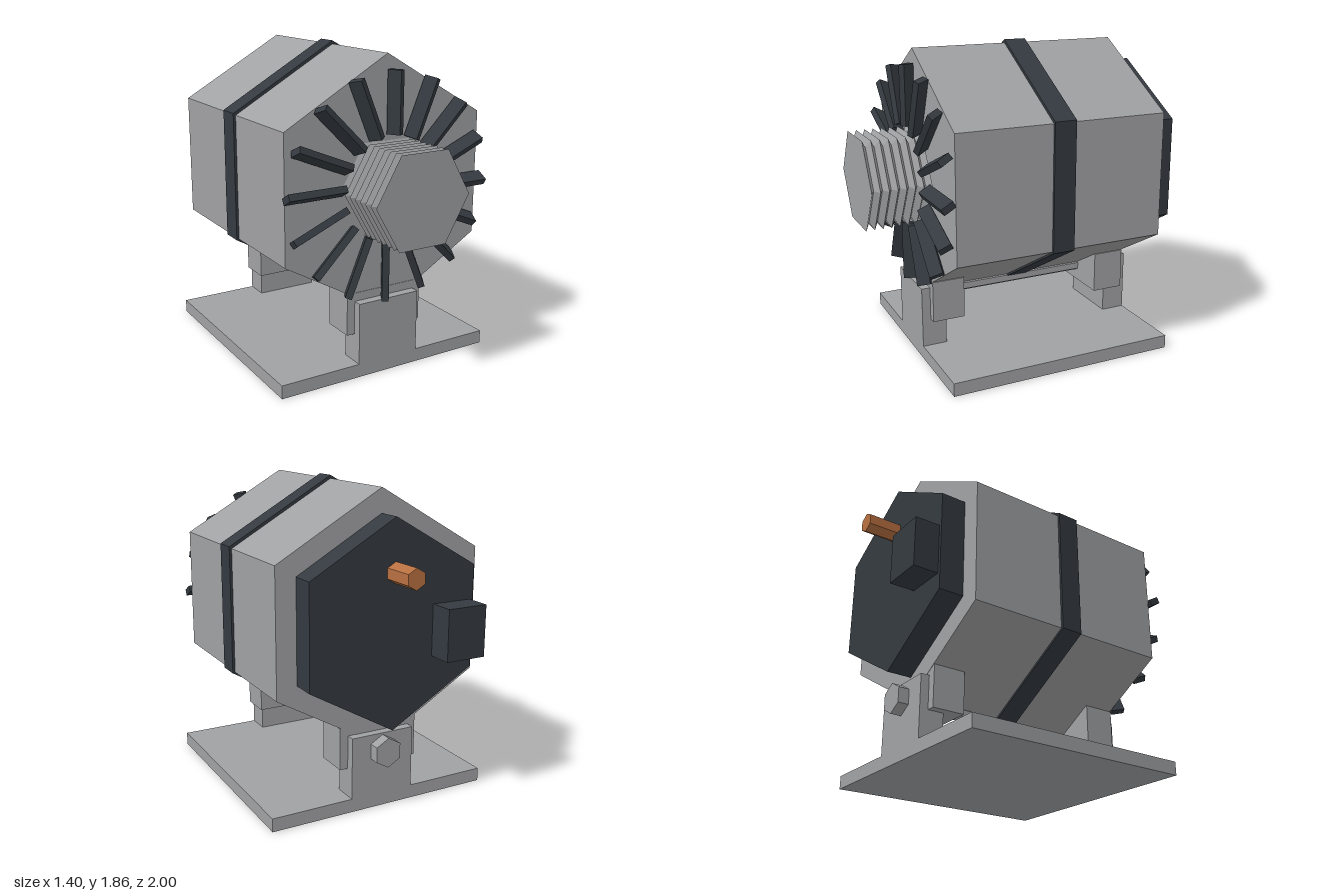
import * as THREE from 'three';

export function createModel() {
  const model = new THREE.Group();
  const mat = (name, color) => {
    const m = new THREE.MeshStandardMaterial({ color });
    m.name = name;
    return m;
  };
  const metal = mat('brushed metal', 0xa0a1a3);
  const dark = mat('dark casing', 0x343a40);
  const copper = mat('copper', 0xb87040);
  const CY = 1.1; // height of the shaft axis

  const add = (name, geometry, material, parent = model) => {
    const mesh = new THREE.Mesh(geometry, material);
    mesh.name = name;
    parent.add(mesh);
    return mesh;
  };
  // Box given by its min and max corners
  const box = (name, material, [x0, y0, z0], [x1, y1, z1]) => {
    const mesh = add(name, new THREE.BoxGeometry(x1 - x0, y1 - y0, z1 - z0), material);
    mesh.position.set((x0 + x1) / 2, (y0 + y1) / 2, (z0 + z1) / 2);
    return mesh;
  };
  const faceted = (geometry) => {
    const flat = geometry.toNonIndexed();
    flat.computeVertexNormals();
    return flat;
  };
  // Hexagonal prism along z, with a corner at the top
  const hex = (name, material, r, y, z0, z1) => {
    const g = new THREE.CylinderGeometry(r, r, z1 - z0, 6).rotateX(Math.PI / 2);
    const mesh = add(name, faceted(g), material);
    mesh.position.set(0, y, (z0 + z1) / 2);
    return mesh;
  };

  // Housing, band and rear parts
  hex('housing', metal, 0.74, CY, -0.65, 0.645);
  hex('centreBand', dark, 0.757, CY + 0.003, -0.068, 0.066);
  hex('rearCover', dark, 0.6, CY, -0.8, -0.64);
  hex('copperTerminal', copper, 0.06, 1.4, -1, -0.79);
  box('connectorBox', dark, [-0.5, 0.9, -0.95], [-0.25, 1.2, -0.79]);

  // Grooved pulley
  const profile = [new THREE.Vector2(0, 0.64)];
  for (let i = 0; i <= 14; i++) {
    profile.push(new THREE.Vector2(i % 2 ? 0.252 : 0.303, 0.65 + i * 0.025));
  }
  profile.push(new THREE.Vector2(0, 1));
  const pulley = new THREE.LatheGeometry(profile, 6).rotateY(Math.PI / 6).rotateX(Math.PI / 2);
  add('pulley', faceted(pulley), metal).position.y = CY;

  // Fan of sixteen pitched blades
  const fan = new THREE.Group();
  fan.name = 'coolingFan';
  fan.position.set(0, CY, 0.69);
  model.add(fan);
  const blade = new THREE.BoxGeometry(0.04, 0.355, 0.08)
    .rotateY(Math.PI / 6)
    .translate(0.0235, 0.4775, 0);
  for (let i = 0; i < 16; i++) {
    add('fanBlade', blade, dark, fan).rotation.z = (i * Math.PI) / 8;
  }

  // Mounting bracket, lugs and through bolt
  box('basePlate', metal, [-0.7, 0, -0.7], [0.7, 0.08, 0.7]);
  for (const s of [-1, 1]) {
    const span = (a, b) => (s > 0 ? [a, b] : [-b, -a]);
    const [u0, u1] = span(0.55, 0.7);
    box('bracketUpright', metal, [-0.2, 0.07, u0], [0.2, 0.45, u1]);
    const [l0, l1] = span(0.45, 0.648);
    box('mountingLug', metal, [-0.25, 0.25, l0], [0.25, 0.5, l1]);
  }
  hex('boltShaft', metal, 0.04, 0.35, -0.7, 0.69);
  hex('boltHead', metal, 0.09, 0.35, -0.765, -0.69);

  return model;
}
